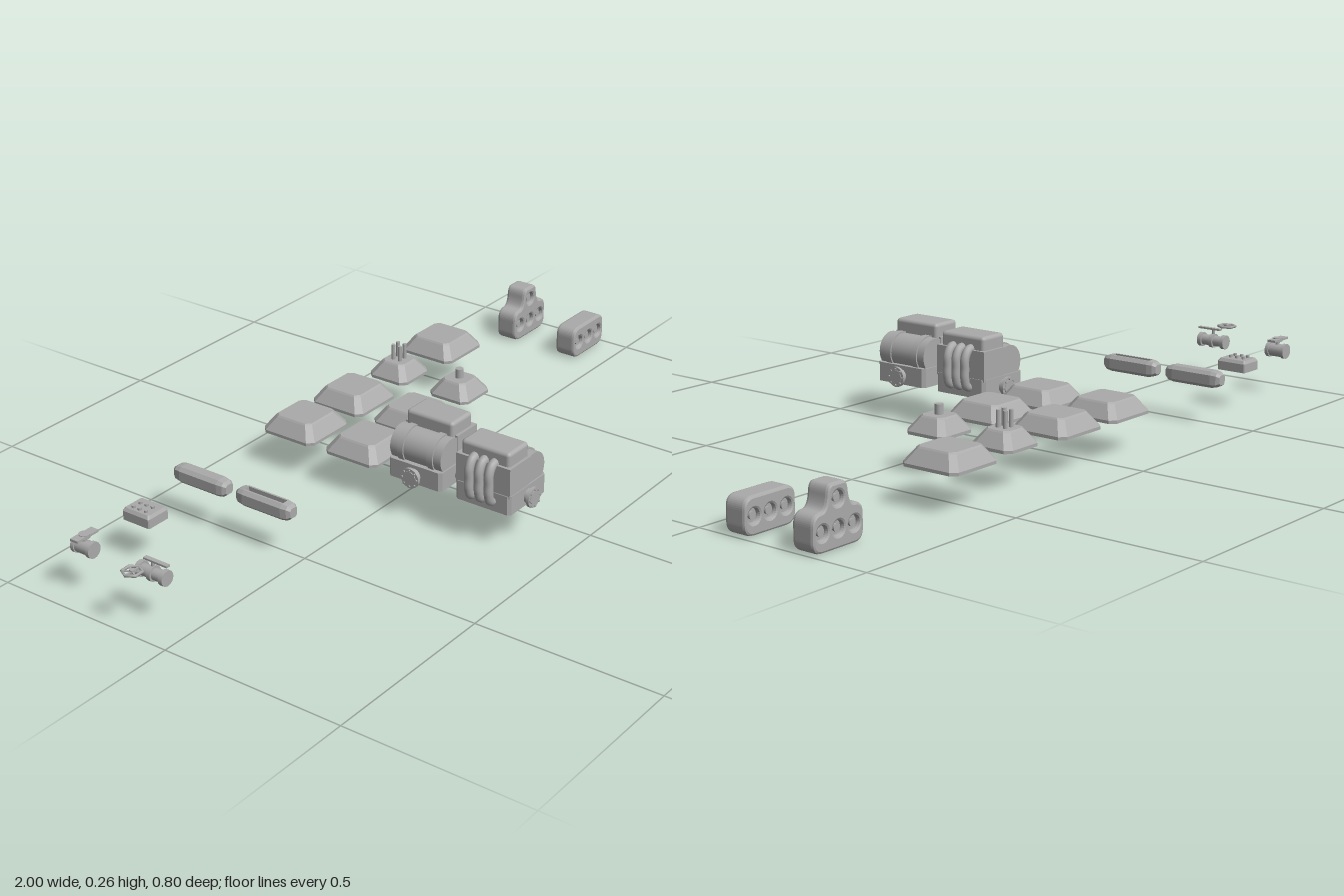
import * as THREE from 'three';
import { RoundedBoxGeometry } from 'three/addons/geometries/RoundedBoxGeometry.js';

const grey = new THREE.MeshStandardMaterial({ color: 0xaaaaaa });
grey.name = 'plain grey';

function add(parent, name, geo, x = 0, y = 0, z = 0, rx = 0, ry = 0, rz = 0) {
  const m = new THREE.Mesh(geo, grey);
  m.name = name;
  m.position.set(x, y, z);
  m.rotation.set(rx, ry, rz);
  parent.add(m);
  return m;
}
function group(parent, name, x = 0, y = 0, z = 0, ry = 0) {
  const g = new THREE.Group();
  g.name = name;
  g.position.set(x, y, z);
  g.rotation.y = ry;
  parent.add(g);
  return g;
}
const cyl = (r, h, n = 20, r2 = r) => new THREE.CylinderGeometry(r, r2, h, n);
const box = (w, h, d) => new THREE.BoxGeometry(w, h, d);
const H = Math.PI / 2;

// Faceted loft through chamfered rectangles: [halfX, halfZ, chamfer, y]
function loft(sections) {
  const rings = sections.map(([a, b, c, y]) =>
    [[a, c - b], [a, b - c], [a - c, b], [c - a, b], [-a, b - c], [-a, c - b], [c - a, -b], [a - c, -b]]
      .map(([x, n]) => [x, y, -n]));
  const pos = [];
  for (let k = 0; k + 1 < rings.length; k++) {
    for (let i = 0; i < 8; i++) {
      const j = (i + 1) % 8, lo = rings[k], up = rings[k + 1];
      pos.push(...lo[i], ...lo[j], ...up[j], ...lo[i], ...up[j], ...up[i]);
    }
  }
  const g = new THREE.BufferGeometry();
  g.setAttribute('position', new THREE.Float32BufferAttribute(pos, 3));
  g.computeVertexNormals();
  return g;
}

// Tapered pad, hollow underneath
function pad(parent, x, z, h) {
  const g = group(parent, 'pad', x, 0, z);
  const t = h - 0.024, r = h * 0.66;
  add(g, 'padBody', loft([
    [0, 0, 0, 0.12], [r, r, 0.006, 0.12], [r, r, 0.006, 0.096], [h, h, 0.016, 0.096],
    [h, h, 0.016, 0.104], [t, t, 0.013, 0.138], [t - 0.004, t - 0.004, 0.012, 0.142], [0, 0, 0, 0.142]]));
  return g;
}

// Track unit: rounded outline with wheel recesses on both faces
function track(parent, z, tall) {
  const g = group(parent, tall ? 'tallTrack' : 'lowTrack', 0.917, 0, z);
  const s = new THREE.Shape(), w = 0.08, r = 0.03, top = 0.092;
  s.moveTo(-w + r, 0);
  s.lineTo(w - r, 0);
  s.quadraticCurveTo(w, 0, w, r);
  s.lineTo(w, top - r);
  s.quadraticCurveTo(w, top, w - r, top);
  if (tall) {
    s.quadraticCurveTo(0.036, top + 0.004, 0.033, 0.125);
    s.quadraticCurveTo(0.031, 0.149, 0.016, 0.149);
    s.lineTo(-0.016, 0.149);
    s.quadraticCurveTo(-0.031, 0.149, -0.033, 0.125);
    s.quadraticCurveTo(-0.036, top + 0.004, -w + r, top);
  } else s.lineTo(-w + r, top);
  s.quadraticCurveTo(-w, top, -w, top - r);
  s.lineTo(-w, r);
  s.quadraticCurveTo(-w, 0, -w + r, 0);
  const wheels = [[-0.05, 0.046], [0, 0.046], [0.05, 0.046]];
  if (tall) wheels.push([0, 0.113]);
  for (const [x, y] of wheels) {
    const hole = new THREE.Path();
    hole.absarc(x, y, 0.017, 0, Math.PI * 2, true);
    s.holes.push(hole);
  }
  add(g, 'trackBand', new THREE.ExtrudeGeometry(s, {
    depth: 0.046, bevelThickness: 0.008, bevelSize: 0.006, bevelOffset: -0.006, bevelSegments: 2, curveSegments: 12
  }), 0, 0, -0.023);
  add(g, 'trackCore', box(0.14, 0.06, 0.036), 0, 0.046, 0);
  if (tall) add(g, 'upperCore', box(0.042, 0.05, 0.036), 0, 0.11, 0);
  for (const [x, y] of wheels) add(g, 'wheelHub', cyl(0.009, 0.048, 14), x, y, 0, H);
}

// Bolted flange whose axis points along local +z
function flange(parent, x, y, z, ry) {
  const g = group(parent, 'flange', x, y, z, ry);
  add(g, 'flangeNeck', cyl(0.019, 0.024), 0, 0, 0.01, H);
  add(g, 'flangeDisc', cyl(0.027, 0.008), 0, 0, 0.016, H);
  for (let i = 0; i < 8; i++) {
    const a = i * Math.PI / 4;
    add(g, 'bolt', cyl(0.003, 0.006, 6), Math.cos(a) * 0.022, Math.sin(a) * 0.022, 0.021, H);
  }
}

// Engine block: tank, drum, three pipes and flanges
function engine(parent, z, ry) {
  const g = group(parent, 'engine', -0.1, 0, z, ry);
  add(g, 'base', loft([[0, 0, 0, 0.125], [0.06, 0.06, 0.005, 0.125], [0.06, 0.06, 0.005, 0.095],
    [0.08, 0.081, 0.008, 0.095], [0.08, 0.081, 0.008, 0.146], [0, 0, 0, 0.146]]));
  add(g, 'crossbar', cyl(0.013, 0.14, 12), 0, 0.108, 0, H);
  add(g, 'bottomPlug', cyl(0.012, 0.02, 12), 0, 0.1, 0);
  add(g, 'midBlock', box(0.084, 0.08, 0.158), -0.036, 0.18, 0);
  add(g, 'tank', new RoundedBoxGeometry(0.086, 0.13, 0.142, 3, 0.01), -0.027, 0.191, 0);
  add(g, 'drum', cyl(0.047, 0.154, 32), 0.029, 0.174, 0, H);
  for (const s of [-1, 1]) {
    add(g, 'drumStrap', cyl(0.051, 0.018, 32), 0.029, 0.174, s * 0.045, H);
    flange(g, 0, 0.118, s * 0.08, s > 0 ? 0 : Math.PI);
  }
  flange(g, 0.08, 0.118, 0, H);
  const path = new THREE.CatmullRomCurve3([[-0.055, 0.222], [-0.08, 0.22], [-0.094, 0.2],
    [-0.095, 0.17], [-0.095, 0.145], [-0.088, 0.125], [-0.068, 0.12]].map(([x, y]) => new THREE.Vector3(x, y, 0)));
  for (const dz of [-0.029, 0, 0.029]) add(g, 'pipe', new THREE.TubeGeometry(path, 28, 0.0118, 12), 0, 0, dz);
}

// Faceted capsule lying along z
function capsule(parent, z, slotted) {
  const g = group(parent, slotted ? 'slottedCapsule' : 'capsule', -0.505, 0.12, z);
  const r = 0.022;
  const end = (l) => [[0, 0, 0, -l], [0.013, 0.013, 0.005, -l], [0.019, 0.019, 0.007, -l + 0.009], [r, r, 0.009, -l + 0.025]];
  const flip = (a) => a.map(([x, n, c, y]) => [x, n, c, -y]).reverse();
  if (!slotted) {
    add(g, 'capsuleBody', loft([...end(0.085), ...flip(end(0.085))]), 0, 0, 0, H);
    return;
  }
  const cap = [[r, r, 0.009, 0.06], [0.019, 0.019, 0.007, 0.076], [0.013, 0.013, 0.005, 0.085], [0, 0, 0, 0.085]];
  const front = [[0, 0, 0, 0.06], ...cap];
  add(g, 'frontCap', loft(front), 0, 0, 0, H);
  add(g, 'backCap', loft(front), 0, 0, 0, -H);
  const s = new THREE.Shape([[-r, -0.013], [-0.013, -r], [0.013, -r], [r, -0.013], [r, 0.013], [0.013, r], [0.008, r],
    [0.008, 0.008], [-0.008, 0.008], [-0.008, r], [-0.013, r], [-r, 0.013]].map(([x, y]) => new THREE.Vector2(x, y)));
  add(g, 'slottedBody', new THREE.ExtrudeGeometry(s, { depth: 0.12, bevelEnabled: false }), 0, 0, -0.06);
}

export function createModel() {
  const root = new THREE.Group();
  root.name = 'partsKit';

  for (const [x, z] of [[-0.1, -0.315], [0.105, -0.315], [0.51, -0.315], [-0.1, -0.111], [0.105, -0.111]]) pad(root, x, z, 0.083);

  // Small pads with prongs and a post
  const pronged = pad(root, 0.306, -0.313, 0.062);
  for (const x of [-0.011, 0.011]) for (const z of [-0.011, 0.011]) add(pronged, 'prong', cyl(0.0055, 0.046, 10), x, 0.162, z);
  const posted = pad(root, 0.306, -0.111, 0.062);
  add(posted, 'post', cyl(0.011, 0.028, 16), 0, 0.154, 0);

  track(root, -0.315, true);
  track(root, -0.111, false);
  engine(root, 0.094, Math.PI);
  engine(root, 0.298, 0);
  capsule(root, -0.313, false);
  capsule(root, -0.111, true);

  // Control box
  const control = group(root, 'controlBox', -0.71, 0, -0.317);
  add(control, 'controlBody', loft([[0, 0, 0, 0.115], [0.026, 0.034, 0.002, 0.115], [0.026, 0.034, 0.002, 0.102],
    [0.035, 0.043, 0.003, 0.102], [0.035, 0.043, 0.003, 0.126], [0.029, 0.038, 0.003, 0.134], [0, 0, 0, 0.134]]));
  for (const x of [-0.018, 0.006]) for (const z of [-0.02, 0, 0.02]) add(control, 'button', cyl(0.005, 0.008, 8), x, 0.136, z);

  // Six-sided wheel with spokes
  const wheel = group(root, 'spokedWheel', -0.972, 0.153, -0.113);
  add(wheel, 'rim', new THREE.TorusGeometry(0.024, 0.004, 6, 6), 0, 0, 0, H);
  add(wheel, 'hub', cyl(0.007, 0.01, 10));
  for (let i = 0; i < 3; i++) add(wheel, 'spoke', box(0.046, 0.003, 0.004), 0, 0, 0, 0, i * Math.PI / 3);

  // Lamp unit with a handle
  const lamp = group(root, 'valve', -0.91, 0.12, -0.108);
  add(lamp, 'valveBody', cyl(0.015, 0.08, 16), 0, 0, 0, H);
  for (const z of [-0.037, 0, 0.037]) add(lamp, 'valveCollar', cyl(0.02, 0.012, 16), 0, 0, z, H);
  add(lamp, 'valveStem', cyl(0.004, 0.03, 8), 0, 0.02, 0);
  add(lamp, 'valveHandle', box(0.012, 0.005, 0.072), 0, 0.034, 0.012);

  // Short valve with a flat lever
  const short = group(root, 'shortValve', -0.915, 0.12, -0.317);
  add(short, 'shortBody', cyl(0.018, 0.052, 16), 0, 0, 0, H);
  for (const s of [-1, 1]) add(short, 'shortCollar', cyl(0.021, 0.01, 16), 0, 0, s * 0.024, H);
  add(short, 'shortStem', cyl(0.006, 0.03, 10), 0, 0.02, 0);
  add(short, 'leverPlate', box(0.07, 0.006, 0.024), 0, 0.031, 0);
  add(short, 'leverCap', cyl(0.014, 0.01, 12), 0, 0.031, 0);
  return root;
}
